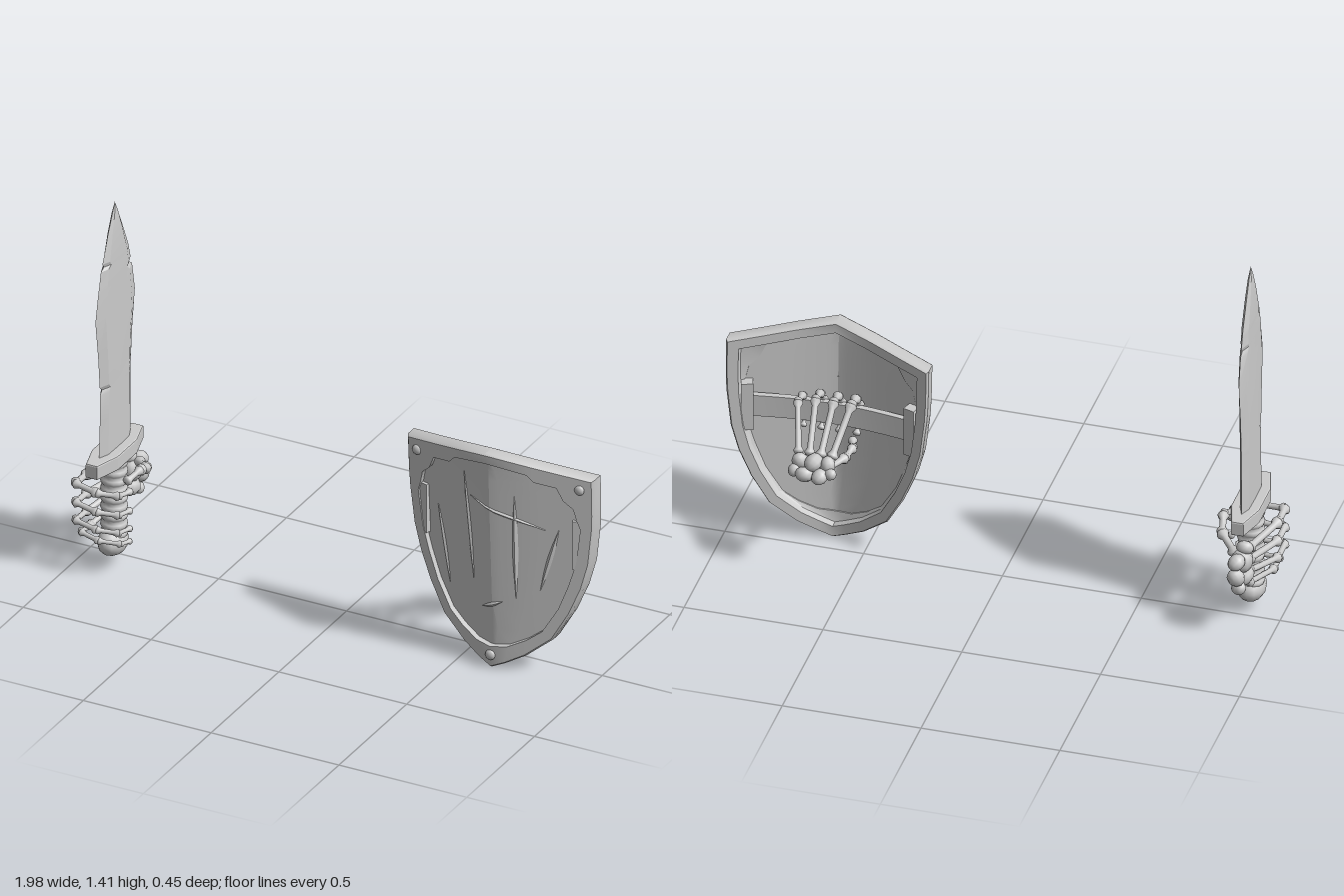
import * as THREE from 'three';
import { toCreasedNormals } from 'three/addons/utils/BufferGeometryUtils.js';

const V = (x, y, z) => new THREE.Vector3(x, y, z);
const grey = new THREE.MeshStandardMaterial({ color: 0xcccccc, side: THREE.DoubleSide });
const lerp = THREE.MathUtils.lerp;

function add(parent, name, geometry, x = 0, y = 0, z = 0) {
  const m = new THREE.Mesh(geometry, grey);
  m.name = name;
  m.position.set(x, y, z);
  parent.add(m);
  return m;
}

// Skin between rows of points; ring closes each row, loop joins last row to first
function loft(rows, { ring = true, loop = false, crease = 0.5 } = {}) {
  const n = rows[0].length, pos = [], idx = [];
  rows.forEach(r => r.forEach(p => pos.push(p.x, p.y, p.z)));
  for (let i = 0; i < rows.length - (loop ? 0 : 1); i++)
    for (let j = 0; j < n - (ring ? 0 : 1); j++) {
      const k = ((i + 1) % rows.length) * n, l = (j + 1) % n;
      idx.push(i * n + j, i * n + l, k + l, i * n + j, k + l, k + j);
    }
  const g = new THREE.BufferGeometry();
  g.setAttribute('position', new THREE.Float32BufferAttribute(pos, 3));
  g.setIndex(idx);
  return toCreasedNormals(g, crease);
}

// Long bone with flared, rounded ends
function bone(parent, name, a, b, r) {
  const L = a.distanceTo(b);
  const profile = [[0, -0.4], [0.85, -0.2], [1.1, 0.35], [0.62, 1.2]]
    .map(([w, h]) => new THREE.Vector2(w * r, h * r));
  const top = [[0.62, 1.2], [1.1, 0.35], [0.85, -0.2], [0, -0.4]]
    .map(([w, h]) => new THREE.Vector2(w * r, L - h * r));
  const m = add(parent, name, new THREE.LatheGeometry([...profile, ...top], 9), a.x, a.y, a.z);
  m.quaternion.setFromUnitVectors(V(0, 1, 0), b.clone().sub(a).normalize());
}

function chain(parent, name, pts, r) {
  for (let i = 0; i < pts.length - 1; i++)
    bone(parent, name, V(...pts[i]), V(...pts[i + 1]), r * (1 - 0.08 * i));
}

// Small wrist bones: [x, y, z, radius]
function carpals(parent, list) {
  list.forEach(([x, y, z, r], i) => {
    const m = add(parent, 'wristBone', new THREE.SphereGeometry(r, 9, 7), x, y, z);
    m.scale.set(0.9, 1.1, 1);
    m.rotation.set(i, i * 0.7, i * 0.4);
  });
}

function createSword() {
  const g = new THREE.Group();
  g.name = 'sword';
  const X = -0.88;

  // Leaf-shaped blade with nicked edges: [y, front z, back z, half thickness]
  const rows = [
    [0.44, 0.168, -0.065, 0.016], [0.6, 0.16, -0.065, 0.016], [0.7, 0.159, -0.067, 0.016],
    [0.715, 0.145, -0.067, 0.016], [0.73, 0.161, -0.068, 0.016], [0.85, 0.172, -0.077, 0.016],
    [1.0, 0.193, -0.098, 0.015], [1.11, 0.17, -0.077, 0.014], [1.125, 0.165, -0.055, 0.014],
    [1.14, 0.162, -0.066, 0.014], [1.18, 0.153, -0.055, 0.013], [1.19, 0.13, -0.052, 0.013],
    [1.205, 0.141, -0.047, 0.013], [1.3, 0.102, -0.004, 0.01], [1.37, 0.068, 0.03, 0.006],
    [1.41, 0.05, 0.05, 0]];
  add(g, 'blade', loft(rows.map(([y, f, b, t]) => {
    const e = (f - b) * 0.17, c = (f + b) / 2;
    return [V(X + t * 1.1, y, c), V(X + t, y, b + e), V(X, y, b), V(X - t, y, b + e),
      V(X - t * 1.1, y, c), V(X - t, y, f - e), V(X, y, f), V(X + t, y, f - e)];
  }), { crease: 0.3 }));

  // Guard
  const s = new THREE.Shape([[-0.018, -0.165], [0.018, -0.165], [0.046, -0.07], [0.046, 0.07],
    [0.018, 0.165], [-0.018, 0.165], [-0.046, 0.07], [-0.046, -0.07]].map(p => new THREE.Vector2(...p)));
  const guard = new THREE.ExtrudeGeometry(s, { depth: 0.044, bevelSize: 0.006, bevelThickness: 0.006, bevelSegments: 2 });
  add(g, 'guard', guard.rotateX(-Math.PI / 2), X, 0.407, 0.052);

  // Ribbed grip and pommel
  const grip = [];
  for (let i = 0; i <= 36; i++)
    grip.push(new THREE.Vector2(0.04 + 0.009 * Math.abs(Math.sin(i * Math.PI / 4)), 0.1 + i * 0.0086));
  add(g, 'grip', new THREE.LatheGeometry(grip, 14), X, 0, 0.055);
  add(g, 'pommel', new THREE.SphereGeometry(0.052, 12, 8), X, 0.085, 0.062).scale.set(1, 1, 1.35);

  // Hand wrapped round the grip
  const hand = new THREE.Group();
  hand.name = 'swordHand';
  g.add(hand);
  carpals(hand, [[-0.89, 0.29, -0.095, 0.044], [-0.895, 0.225, -0.09, 0.038], [-0.885, 0.25, -0.15, 0.032],
    [-0.885, 0.31, -0.145, 0.03], [-0.9, 0.34, -0.09, 0.028], [-0.89, 0.2, -0.135, 0.026]]);
  [0.34, 0.265, 0.195, 0.145].forEach((y, i) => {
    const r = 0.021 - i * 0.0015, d = i === 3 ? 0.015 : 0;
    chain(hand, 'finger', [[-0.91, 0.33 - 0.048 * i, -0.07], [-0.965 + d, y, 0.095],
      [-0.965 + d, y + 0.004, 0.18 - d], [-0.875, y - 0.005, 0.195 - d],
      [-0.805, y - 0.015, 0.165 - d], [-0.79, y - 0.02, 0.105]], r);
  });
  chain(hand, 'thumb', [[-0.865, 0.32, -0.1], [-0.8, 0.345, -0.03], [-0.785, 0.375, 0.04], [-0.805, 0.355, 0.105]], 0.021);
  return g;
}

function createShield() {
  const g = new THREE.Group();
  g.name = 'shield';
  const CX = 0.632;
  const bow = (dx, y) => 0.13 + 0.052 * y - 0.32 * (Math.hypot(dx, 0.02) - 0.02);
  const at = (dx, y, off = 0) => V(CX + dx, y, bow(dx, y) + off);

  // Half outline: [outer dx, outer y, inner dx, inner y]
  const half = [[0, 0.86, 0, 0.822], [0.14, 0.834, 0.14, 0.792], [0.17, 0.828, 0.165, 0.765],
    [0.25, 0.812, 0.24, 0.75], [0.365, 0.79, 0.262, 0.70], [0.365, 0.71, 0.295, 0.67],
    [0.364, 0.65, 0.305, 0.625], [0.361, 0.59, 0.317, 0.59], [0.345, 0.45, 0.3, 0.455],
    [0.318, 0.35, 0.272, 0.36], [0.275, 0.245, 0.235, 0.262], [0.213, 0.135, 0.178, 0.165],
    [0.12, 0.06, 0.125, 0.125], [0.05, 0.022, 0.06, 0.092], [0, 0, 0, 0.085]];
  const mirrored = half.slice(1, -1).reverse().map(([a, b, c, d]) => [-a, b, -c, d]);

  // Raised rim with corner plates in front and an even border behind
  add(g, 'rim', loft([...half, ...mirrored].map(([ox, oy, ix, iy]) => {
    const bx = ox * 0.88, by = lerp(0.45, oy, 0.9);
    const ex = ox * 0.98, ey = lerp(0.45, oy, 0.985);
    return [at(ex, ey, -0.064), at(ox, oy, -0.054), at(ox, oy, -0.01), at(ex, ey, 0),
      at(ix, iy, 0), at(ix, iy, -0.028), at(bx, by, -0.034), at(bx, by, -0.064)];
  }), { loop: true, crease: 0.7 }));

  // Bowed panel
  const cols = [-1, -0.5, -0.1, 0, 0.1, 0.5, 1];
  add(g, 'panel', loft(half.map(([ox, oy, ix, iy]) =>
    cols.map(s => at(s * (ox + ix) / 2, (oy + iy) / 2, -0.024))), { ring: false, crease: 0.3 }));

  // Rivets
  [[-0.317, 0.75], [0.317, 0.75], [0, 0.052]].forEach(([dx, y]) => {
    const p = at(dx, y);
    add(g, 'rivet', new THREE.SphereGeometry(0.019, 12, 8), p.x, p.y, p.z).scale.z = 0.6;
  });

  // Battle scars: [dx, y, dx, y, half width]
  [[-0.11, 0.74, -0.077, 0.32, 0.009], [-0.083, 0.655, 0.19, 0.565, 0.007], [0.088, 0.69, 0.085, 0.28, 0.01],
    [-0.237, 0.555, -0.19, 0.26, 0.009], [0.235, 0.57, 0.167, 0.32, 0.009], [-0.042, 0.225, 0.04, 0.262, 0.008]
  ].forEach(([ax, ay, bx, by, w]) => {
    const L = Math.hypot(bx - ax, by - ay), nx = (by - ay) / L, ny = (ax - bx) / L, rows = [];
    for (let i = 0; i <= 8; i++) {
      const t = i / 8, k = w * Math.sin(Math.PI * t), x = lerp(ax, bx, t), y = lerp(ay, by, t);
      rows.push([at(x + nx * k, y + ny * k, -0.023), at(x, y, -0.02 + k * 0.4), at(x - nx * k, y - ny * k, -0.023)]);
    }
    add(g, 'scar', loft(rows, { ring: false, crease: 0.2 }));
  });

  // Arm strap with an upright mount at each end
  const strap = [];
  for (let i = 0; i <= 12; i++) {
    const dx = lerp(-0.3, 0.3, i / 12), z = 0.02 + 0.035 * Math.cos(dx * 5), y = 0.52;
    strap.push([V(CX + dx, y - 0.042, z), V(CX + dx, y + 0.042, z), V(CX + dx, y + 0.042, z + 0.022), V(CX + dx, y - 0.042, z + 0.022)]);
  }
  add(g, 'strap', loft(strap));
  for (const s of [-1, 1]) {
    const m = add(g, 'strapMount', new THREE.BoxGeometry(0.042, 0.19, 0.05), CX + s * 0.298, 0.52, 0.035);
    m.rotation.y = s * 0.31;
  }

  // Hand gripping the strap
  const hand = new THREE.Group();
  hand.name = 'shieldHand';
  g.add(hand);
  carpals(hand, [[0.58, 0.455, -0.165, 0.03], [0.63, 0.46, -0.17, 0.034], [0.68, 0.455, -0.165, 0.03],
    [0.6, 0.425, -0.2, 0.029], [0.655, 0.425, -0.2, 0.03], [0.565, 0.435, -0.19, 0.022], [0.695, 0.43, -0.19, 0.022]]);
  for (let i = 0; i < 4; i++) {
    const x = 0.54 + i * 0.064, u = (i - 1.5) * 0.04, d = i === 3 ? 0.02 : 0;
    chain(hand, 'finger', [[0.632 + u, 0.475, -0.145], [x, 0.615 - d, -0.015], [x, 0.605 - d, 0.045],
      [x, 0.55 - d, 0.088], [x, 0.49, 0.085], [x, 0.455, 0.05]], 0.02 - i * 0.001);
  }
  chain(hand, 'thumb', [[0.58, 0.44, -0.16], [0.54, 0.445, -0.09], [0.53, 0.45, -0.03], [0.545, 0.45, 0.02]], 0.019);
  return g;
}

export function createModel() {
  const model = new THREE.Group();
  model.name = 'swordAndShield';
  model.add(createSword(), createShield());
  return model;
}
